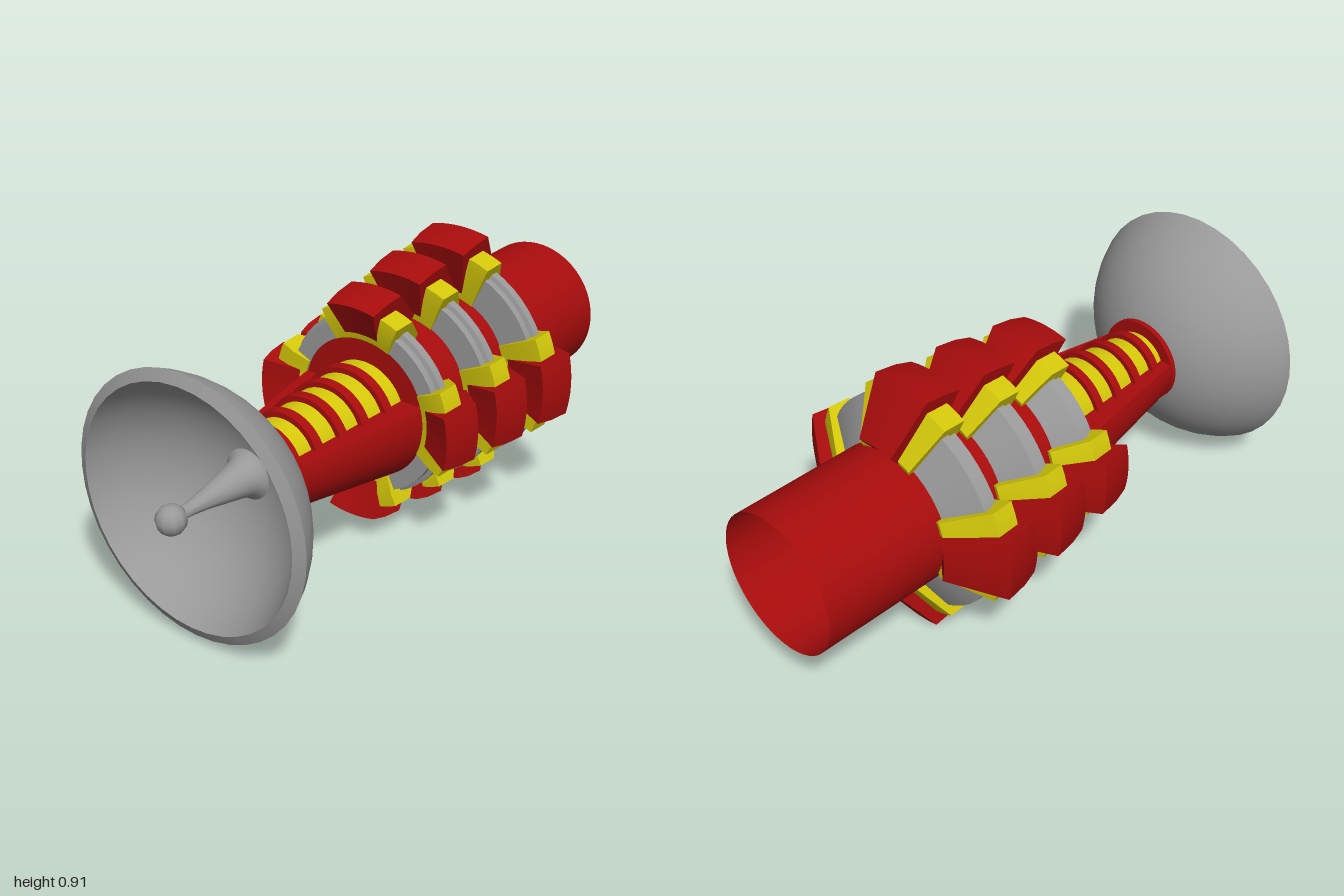
import * as THREE from 'three';
import { toCreasedNormals } from 'three/addons/utils/BufferGeometryUtils.js';
import { ParametricGeometry } from 'three/addons/geometries/ParametricGeometry.js';

const grey = new THREE.MeshStandardMaterial({ color: 0x999999 });
const red = new THREE.MeshStandardMaterial({ color: 0xa80c0c });
const redThin = new THREE.MeshStandardMaterial({ color: 0xa80c0c, side: THREE.DoubleSide });
const yellow = new THREE.MeshStandardMaterial({ color: 0xd4c80a });

// Sweep a closed [radius, z] profile about the z axis between two angles, with end caps
function sector(profile, start, end, steps) {
  const shape = new THREE.Shape(profile.map(([r, z]) => new THREE.Vector2(r, z)));
  const geo = new THREE.ExtrudeGeometry(shape, { depth: 1, steps, bevelEnabled: false });
  const p = geo.attributes.position;
  for (let i = 0; i < p.count; i++) {
    const r = p.getX(i), z = p.getY(i);
    const a = end - p.getZ(i) * (end - start);
    p.setXYZ(i, r * Math.cos(a), r * Math.sin(a), z);
  }
  return toCreasedNormals(geo, 0.3);
}

// Turn an open [radius, z] profile about the z axis
function turned(profile, segments) {
  const geo = new THREE.LatheGeometry(profile.map(([r, z]) => new THREE.Vector2(r, z)), segments);
  return toCreasedNormals(geo.rotateX(Math.PI / 2), 0.5);
}

export function createModel() {
  const model = new THREE.Group();
  const core = new THREE.Group();
  core.name = 'emitter';
  core.position.y = 0.459;
  model.add(core);

  const add = (name, geo, mat, parent = core) => {
    const mesh = new THREE.Mesh(geo, mat);
    mesh.name = name;
    parent.add(mesh);
    return mesh;
  };

  // Open tube, its shoulder hidden behind the first hoop
  add('bodyTube', turned([[0.238, -1], [0.238, 0.05], [0.12, 0.05]], 48), redThin);

  // Tapered neck, cut flat above the middle
  const coilRadius = z => 0.164 - 0.094 * z;
  const arcSteps = 36;
  const neck = new ParametricGeometry((u, v, target) => {
    const i = Math.round(u * (arcSteps + 2));
    const z = 0.05 + 0.56 * v;
    const R = 0.241 - 0.097 * v, h = 0.061 - 0.015 * v;
    const cut = Math.asin(h / R);
    if (i === 0 || i === arcSteps + 2) {
      target.set((i ? 1 : -1) * (coilRadius(z) - 0.02), h, z);
    } else {
      const a = Math.PI - cut + (Math.PI + 2 * cut) * (i - 1) / arcSteps;
      target.set(R * Math.cos(a), R * Math.sin(a), z);
    }
  }, arcSteps + 2, 1);
  add('neckShell', toCreasedNormals(neck, 0.5), redThin);

  // Yellow core in the neck channel, with red ribs across it
  const band = (z0, z1, t0, t1) => [
    [coilRadius(z0) + t0, z0], [coilRadius(z0) + t1, z0],
    [coilRadius(z1) + t1, z1], [coilRadius(z1) + t0, z1],
  ];
  add('neckCore', sector(band(0.05, 0.61, -0.02, 0), 0.2, Math.PI - 0.2, 24), yellow);
  for (const z of [0.13, 0.235, 0.335, 0.44, 0.54]) {
    add('neckRib', sector(band(z - 0.016, z + 0.016, -0.01, 0.018), 0.25, Math.PI - 0.25, 24), red);
  }
  add('neckCollar', sector([[0.1, 0.595], [0.15, 0.595], [0.15, 0.62], [0.1, 0.62]], 0, Math.PI * 2, 40), red);

  // Three armoured rings, growing towards the back
  [[0.12, 0.4], [-0.115, 0.432], [-0.353, 0.457]].forEach(([front, R]) => {
    const ring = new THREE.Group();
    ring.name = 'armourRing';
    ring.position.z = front;
    core.add(ring);

    // Grey hoop: sloped back, raised rim, stepped front
    add('hoop', sector([
      [0.238, -0.19], [R - 0.09, -0.123], [R - 0.09, -0.095],
      [R - 0.105, -0.09], [R - 0.105, -0.065], [0.238, -0.065],
    ], 0, Math.PI * 2, 48), grey, ring);

    const bracketShape = [
      [0.238, -0.21], [0.255, -0.215], [R - 0.05, -0.125],
      [R - 0.055, -0.045], [R - 0.1, -0.045], [0.238, -0.06],
    ];
    const plateShape = [
      [0.238, -0.21], [0.285, -0.248], [R, -0.135],
      [R - 0.01, -0.06], [R - 0.028, 0], [0.238, -0.065],
    ];
    for (let k = 0; k < 4; k++) {
      const mid = k * Math.PI / 2;
      add('bracket', sector(bracketShape, mid - 0.44, mid + 0.44, 10), yellow, ring);
      add('armourPlate', sector(plateShape, mid - 0.246, mid + 0.246, 8), red, ring);
    }
  });

  // Antenna: thick spherical dish with a bevelled rim
  const antenna = new THREE.Group();
  antenna.name = 'antenna';
  antenna.position.y = 0.005;
  core.add(antenna);
  const bowl = (apex, depth, rim) => {
    const rad = (rim * rim + depth * depth) / (2 * depth);
    const max = Math.asin(rim / rad);
    return Array.from({ length: 17 }, (_, i) => {
      const a = max * i / 16;
      return [rad * Math.sin(a), apex + rad * (1 - Math.cos(a))];
    });
  };
  const dishProfile = [...bowl(0.59, 0.29, 0.434), ...bowl(0.615, 0.283, 0.398).reverse()];
  add('dish', turned(dishProfile, 40), grey, antenna);

  // Feed horn flaring smoothly into the bowl, and its ball tip
  add('feedHorn', turned([
    [0.085, 0.622], [0.072, 0.632], [0.062, 0.65], [0.054, 0.685], [0.042, 0.75],
    [0.03, 0.81], [0.022, 0.87], [0.018, 0.94],
  ], 24), grey, antenna);
  add('feedTip', new THREE.SphereGeometry(0.048, 10, 8), grey, antenna).position.z = 0.952;

  return model;
}
